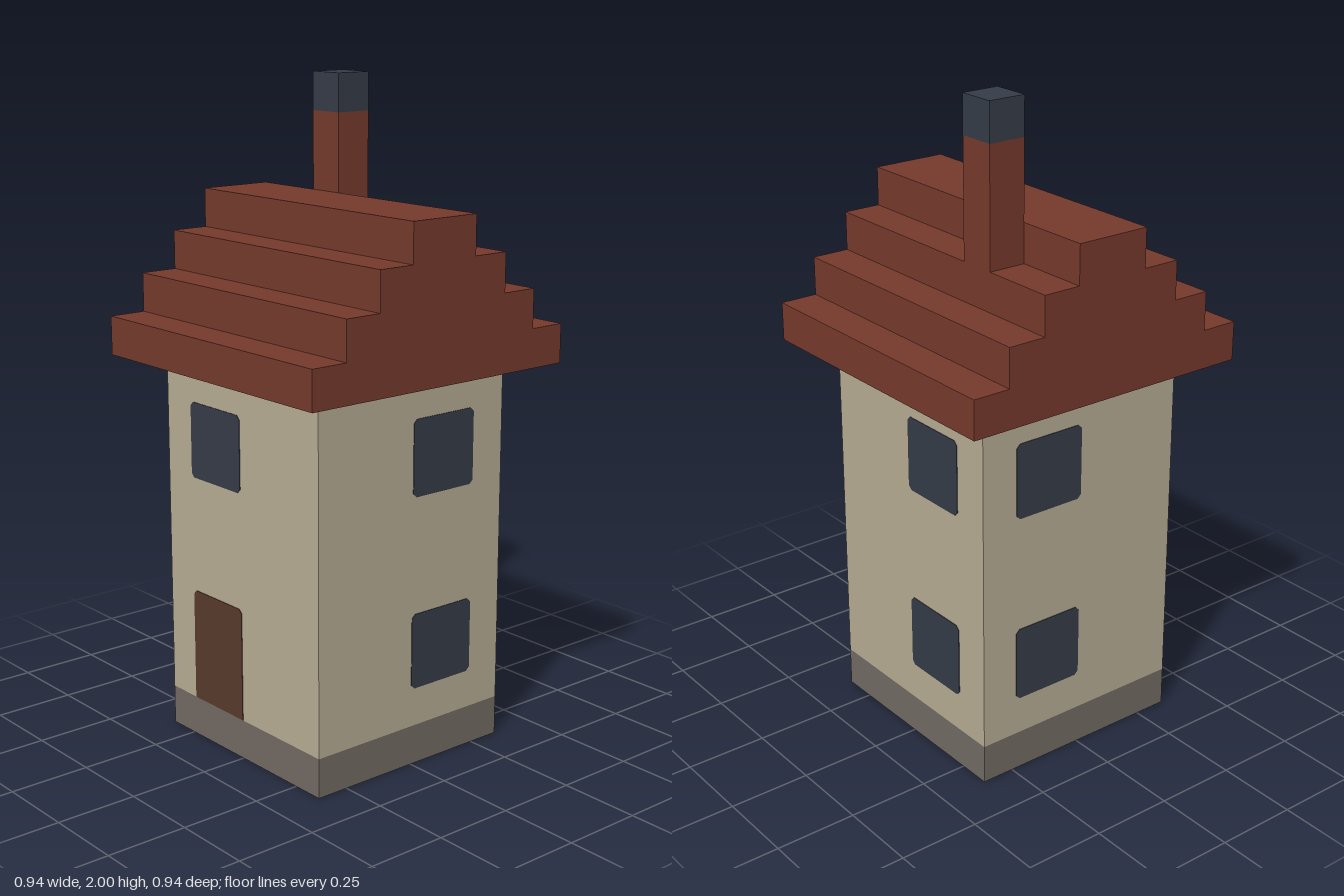
import * as THREE from 'three';

const U = 2 / 17; // one building block
const mat = (name, color) => new THREE.MeshStandardMaterial({ name, color });

export function createModel() {
  const plaster = mat('plaster', 0xb8ad94);
  const stone = mat('stone', 0x736b64);
  const tile = mat('roofTile', 0x763a2c);
  const slate = mat('slate', 0x353c48);
  const wood = mat('doorWood', 0x583a2d);

  const house = new THREE.Group();
  house.name = 'towerHouse';

  const add = (name, geometry, material, parent = house) => {
    const mesh = new THREE.Mesh(geometry, material);
    mesh.name = name;
    parent.add(mesh);
    return mesh;
  };

  // Box from block coordinates: width, depth, bottom, top, centre x and z
  const block = (name, w, d, y0, y1, material, x = 0, z = 0) => {
    const geometry = new THREE.BoxGeometry(w * U, (y1 - y0) * U, d * U);
    add(name, geometry, material).position.set(x * U, (y0 + y1) / 2 * U, z * U);
  };

  block('foundation', 6, 6, 0, 1.03, stone);
  block('walls', 6, 6, 1.03, 10, plaster);

  // Stepped gable roof, its profile swept along x
  const right = [];
  for (let i = 0; i < 4; i++) {
    right.push([(4 - i) * U, (10 + i) * U], [(4 - i) * U, (11 + i) * U]);
  }
  const left = right.map(([x, y]) => [-x, y]).reverse();
  const profile = new THREE.Shape([...right, ...left].map(([x, y]) => new THREE.Vector2(x, y)));
  const roof = new THREE.ExtrudeGeometry(profile, { depth: 8 * U, bevelEnabled: false });
  roof.translate(0, 0, -4 * U).rotateY(Math.PI / 2);
  add('roof', roof, tile);

  // Chimney standing on the third roof step at the back
  block('chimney', 1, 1, 13, 16.02, tile, -1.5, -1.5);
  block('chimneyCap', 1, 1, 16.02, 17, slate, -1.5, -1.5);

  // Thin plate with clipped corners; bottom corners stay square for the door
  const plate = (x0, x1, y0, y1, clipBottom) => {
    const c = 0.012, b = clipBottom ? c : 0;
    const points = [
      [x0 + b, y0], [x1 - b, y0], [x1, y0 + b], [x1, y1 - c],
      [x1 - c, y1], [x0 + c, y1], [x0, y1 - c], [x0, y0 + b],
    ].filter((p, i) => clipBottom || (i !== 2 && i !== 7));
    const shape = new THREE.Shape(points.map(([x, y]) => new THREE.Vector2(x, y)));
    return new THREE.ExtrudeGeometry(shape, { depth: 0.002, bevelEnabled: false });
  };

  // Openings per wall: turn about y, left edge along the wall, storeys with windows
  const sides = [
    ['front', 0, -2, [7.03]],
    ['left', Math.PI / 2, 0, [2.03, 7.03]],
    ['back', Math.PI, 0, [2.03, 7.03]],
    ['right', -Math.PI / 2, -2, [2.03, 7.03]],
  ];
  for (const [side, turn, edge, storeys] of sides) {
    const wall = new THREE.Group();
    wall.name = side + 'Openings';
    wall.rotation.y = turn;
    house.add(wall);
    for (const y of storeys) {
      const pane = plate(edge * U, (edge + 2) * U, y * U, (y + 1.97) * U, true);
      add(side + 'Window', pane, slate, wall).position.z = 3 * U;
    }
    if (side === 'front') {
      const door = plate(-2 * U, 0, 1.04 * U, 4 * U, false);
      add('door', door, wood, wall).position.z = 3 * U;
    }
  }

  return house;
}
